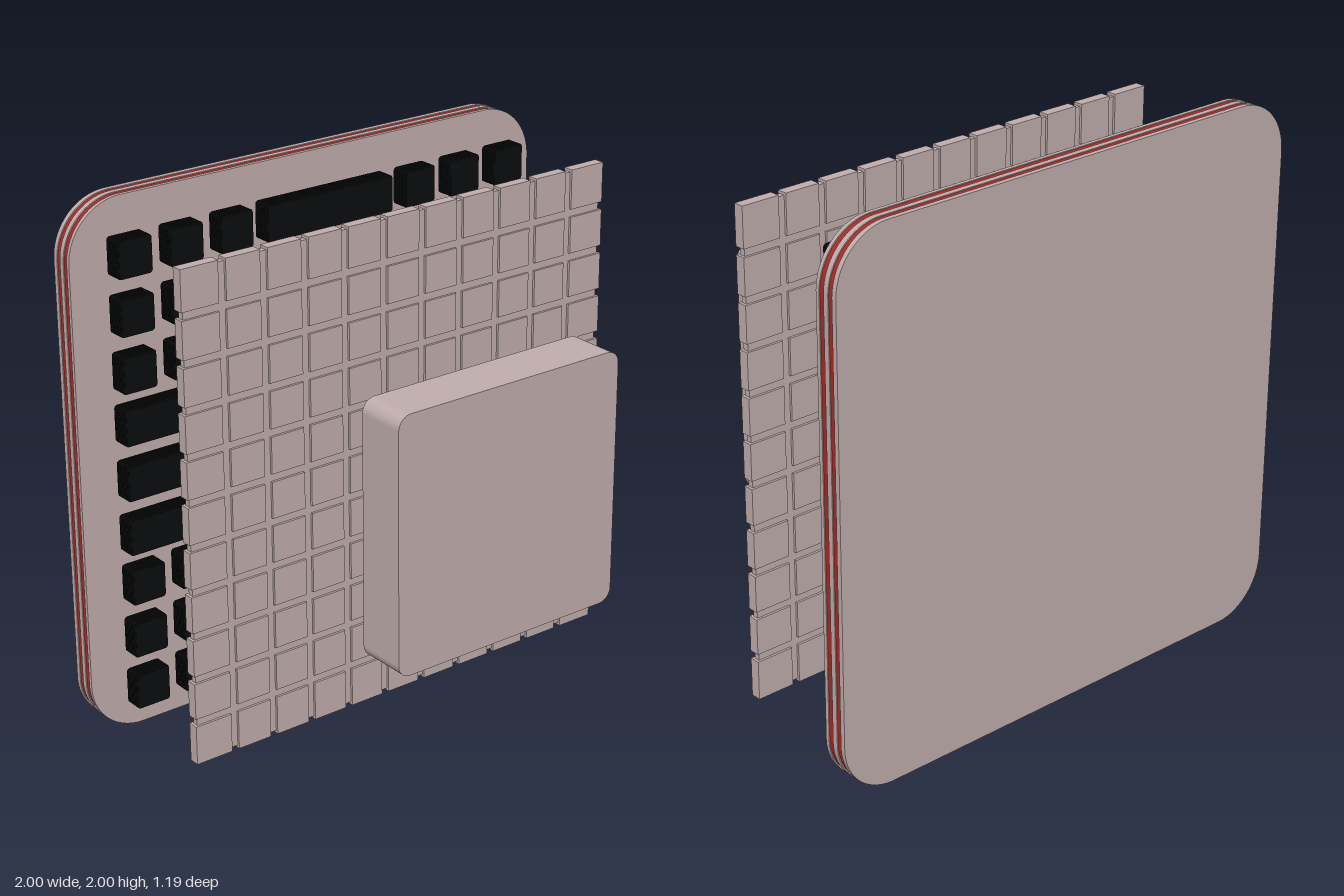
import * as THREE from 'three';

const mat = (color) => new THREE.MeshStandardMaterial({ color });
const shell = mat(0xbfadac);
const red = mat(0xa82a26);
const black = mat(0x0b0c0d);
const pale = mat(0xc6cac5);

// Rounded rectangle centred on (x, y), spanning z0..z1
function slab(name, material, w, h, r, x, y, z0, z1, bevel = 0, segments = 8) {
  const a = w / 2 - bevel, b = h / 2 - bevel, c = r - bevel;
  const s = new THREE.Shape();
  s.moveTo(-a + c, -b);
  s.lineTo(a - c, -b);
  s.absarc(a - c, -b + c, c, -Math.PI / 2, 0);
  s.absarc(a - c, b - c, c, 0, Math.PI / 2);
  s.absarc(-a + c, b - c, c, Math.PI / 2, Math.PI);
  s.absarc(-a + c, -b + c, c, Math.PI, Math.PI * 1.5);
  const geo = new THREE.ExtrudeGeometry(s, {
    depth: z1 - z0 - 2 * bevel, curveSegments: segments,
    bevelEnabled: bevel > 0, bevelSize: bevel, bevelThickness: bevel, bevelSegments: 4,
  });
  const mesh = new THREE.Mesh(geo, material);
  mesh.name = name;
  mesh.position.set(x, y, z0 + bevel);
  return mesh;
}

// Block made of thin stacked layers with narrow recesses between them
function stackedBlock(w, h, x, y) {
  const block = new THREE.Group();
  block.name = 'stackedBlock';
  const core = new THREE.Mesh(new THREE.BoxGeometry(w - 0.012, h - 0.012, 0.064), black);
  core.name = 'blockCore';
  core.position.set(x, y, -0.421);
  block.add(core);
  const layers = 6, pitch = 0.066 / layers;
  for (let i = 0; i < layers; i++) {
    const z = -0.454 + i * pitch;
    block.add(slab('blockLayer', black, w, h, 0.012, x, y, z, z + pitch * 0.75, 0, 2));
  }
  return block;
}

export function createModel() {
  const model = new THREE.Group();

  // Layered rear board
  const board = new THREE.Group();
  board.name = 'rearBoard';
  [-0.595, -0.576, -0.557, -0.536, -0.515, -0.5].forEach((z, i, zs) => {
    if (i === zs.length - 1) return;
    const stripe = i % 2 === 1;
    const size = stripe ? 1.994 : 2;
    board.add(slab(stripe ? 'redLayer' : 'boardLayer', stripe ? red : shell,
      size, size, 0.21, 0, 1, z, zs[i + 1], 0, 16));
  });
  model.add(board);

  // Black blocks: small 3 x 3 sets in the corners, bars on the sides, square in the middle
  const blocks = new THREE.Group();
  blocks.name = 'stackedBlocks';
  const small = 0.137, long = 0.55;
  for (const gx of [-1, 0, 1]) for (const gy of [-1, 0, 1]) {
    const cx = gx * 0.605, cy = 1.004 + gy * 0.605;
    if (!gx && !gy) {
      blocks.add(stackedBlock(long, long, cx, cy));
      continue;
    }
    for (const j of [-1, 0, 1]) {
      const y = cy + j * 0.206;
      if (gx && gy) for (const i of [-1, 0, 1]) blocks.add(stackedBlock(small, small, cx + i * 0.206, y));
      else blocks.add(stackedBlock(long, small, cx, y));
    }
  }
  model.add(blocks);

  // Pale plate with softened edges
  model.add(slab('palePlate', pale, 1.266, 1.274, 0.035, 0, 1.004, -0.385, -0.345, 0.014));

  // Tiled panel: thin web with thicker tiles in an 11 x 11 grid
  const panel = new THREE.Group();
  panel.name = 'tiledPanel';
  const web = new THREE.Mesh(new THREE.BoxGeometry(1.79, 1.79, 0.022), shell);
  web.name = 'panelWeb';
  web.position.y = 1.003;
  panel.add(web);
  const n = 11, pitch = 0.1652;
  const span = (i) => {
    const c = (i - 5) * pitch;
    const lo = i === 0 ? -0.905 : c - 0.068, hi = i === n - 1 ? 0.905 : c + 0.068;
    return [(lo + hi) / 2, hi - lo];
  };
  for (let i = 0; i < n; i++) for (let j = 0; j < n; j++) {
    const [x, w] = span(i), [y, h] = span(j);
    const tile = new THREE.Mesh(new THREE.BoxGeometry(w, h, 0.04), shell);
    tile.name = 'panelTile';
    tile.position.set(x, 1.003 + y, 0);
    panel.add(tile);
  }
  model.add(panel);

  // Thick front block with rounded corners
  model.add(slab('frontBlock', shell, 0.946, 0.946, 0.05, -0.002, 1.005, 0.405, 0.595, 0, 10));

  return model;
}
